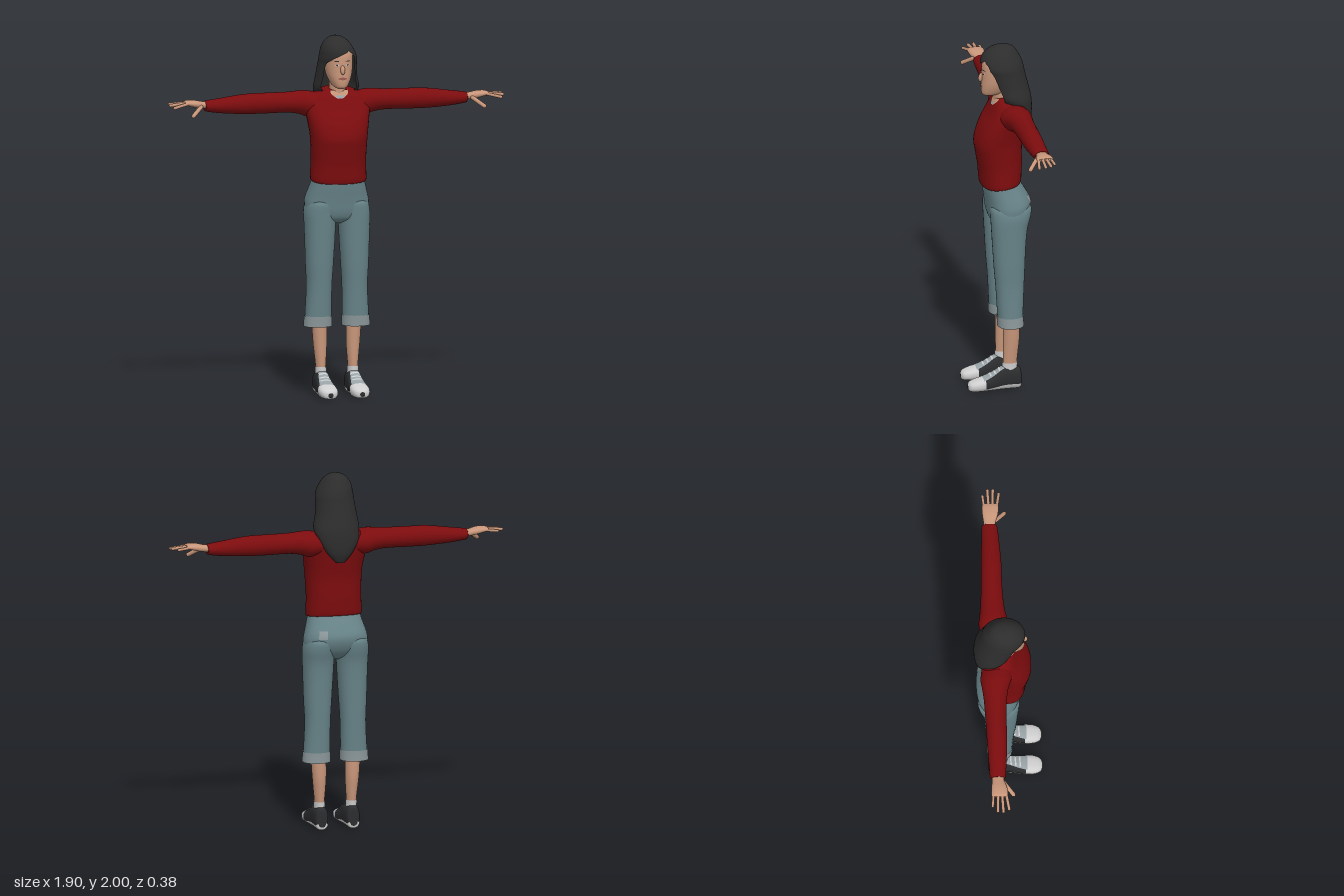
import * as THREE from 'three';

const COLORS = {
  skin: 0xc8967a, sweater: 0x7c0c0e, denim: 0x678388, cuff: 0x8b979a, hair: 0x2d2d2e,
  shoeBlack: 0x2b2c2e, white: 0xcfcfcf, grey: 0x98a2a6, lips: 0x9a5a50,
};

// Smooth interpolation of cross-section rows [t, centre, radius, front, back, ...]
function sample(rows, u) {
  const last = rows.length - 1;
  const i = Math.min(Math.floor(u), last - 1), f = u - i;
  const a = rows[Math.max(i - 1, 0)], b = rows[i], c = rows[i + 1], d = rows[Math.min(i + 2, last)];
  return b.map((v, k) => {
    const m0 = (c[k] - a[k]) / 2, m1 = (d[k] - v) / 2;
    return v + f * (m0 + f * (3 * (c[k] - v) - 2 * m0 - m1 + f * (2 * (v - c[k]) + m0 + m1)));
  });
}

// Row parameter at a given height
function findU(rows, t) {
  let lo = 0, hi = rows.length - 1;
  for (let i = 0; i < 30; i++) {
    const mid = (lo + hi) / 2;
    if (sample(rows, mid)[0] < t) lo = mid; else hi = mid;
  }
  return (lo + hi) / 2;
}

// Axis mappings for (across, along, depth)
const upright = (s = 1) => (c, t, b) => [s * c, t, b];
const sideways = (s = 1) => (c, t, b) => [s * t, c, b];
const forward = (s = 1) => (c, t, b) => [s * c, b, t];

// Loft through rows; "range" limits it to a sector, "from/to" to a band, "off" lifts it
function loft(rows, { map = upright(), p = 2, off = 0, from, to, range, n = 32 } = {}) {
  const u0 = from === undefined ? 0 : findU(rows, from);
  const u1 = to === undefined ? rows.length - 1 : findU(rows, to);
  const m = Math.max(8, Math.ceil((u1 - u0) * 4)), closed = !range;
  const pw = (v) => Math.sign(v) * Math.abs(v) ** (2 / p);
  const pos = [], idx = [], cols = closed ? n : n + 1;
  const ring = (u, k, scale) => {
    const r = sample(rows, u);
    const [a0, a1] = range ? range(k, r) : [0, Math.PI * 2];
    for (let j = 0; j < cols; j++) {
      const a = a0 + (a1 - a0) * j / n;
      pos.push(...map(r[1] + scale * (r[2] + off) * pw(Math.sin(a)), r[0],
        (r[3] + r[4]) / 2 + scale * ((r[3] - r[4]) / 2 + off) * pw(Math.cos(a))));
    }
  };
  const [X, Y, Z] = [[1, 0, 0], [0, 1, 0], [0, 0, 1]].map((v) => new THREE.Vector3(...map(...v)));
  const flip = X.cross(Y).dot(Z) < 0;
  const strip = (r0) => {
    for (let j = 0; j < n; j++) {
      const A = r0 * cols + j, B = r0 * cols + (j + 1) % cols, C = B + cols, D = A + cols;
      if (flip) idx.push(A, C, B, A, D, C); else idx.push(A, B, C, A, C, D);
    }
  };
  for (let i = 0; i <= m; i++) {
    ring(u0 + (u1 - u0) * i / m, i / m, 1);
    if (i < m) strip(i);
  }
  // End caps with sharp rims
  if (closed && from === undefined) {
    ring(u0, 0, 0.001); ring(u0, 0, 1); strip(m + 1);
    ring(u1, 1, 1); ring(u1, 1, 0.001); strip(m + 3);
  }
  const g = new THREE.BufferGeometry();
  g.setAttribute('position', new THREE.Float32BufferAttribute(pos, 3));
  g.setIndex(idx);
  g.computeVertexNormals();
  return g;
}

export function createModel() {
  const model = new THREE.Group();
  const mats = {};
  for (const [name, color] of Object.entries(COLORS)) {
    mats[name] = new THREE.MeshStandardMaterial({ color, side: THREE.DoubleSide });
    mats[name].name = name;
  }
  const add = (name, mat, geo) => {
    const mesh = new THREE.Mesh(geo, mats[mat]);
    mesh.name = name;
    model.add(mesh);
    return mesh;
  };
  const around = (c, w) => () => [c - w, c + w];
  const almond = (c, w) => (k) => [c - w * Math.sin(Math.PI * k) - 0.01, c + w * Math.sin(Math.PI * k) + 0.01];

  // Sweater body, hem slightly lower in front
  const torso = [
    [1.195, 0, 0.148, 0.095, -0.105], [1.21, 0, 0.156, 0.108, -0.115], [1.3, 0, 0.152, 0.116, -0.12],
    [1.39, 0, 0.155, 0.13, -0.12], [1.46, 0, 0.16, 0.138, -0.128], [1.54, 0, 0.173, 0.112, -0.14],
    [1.61, 0, 0.183, 0.068, -0.147], [1.66, 0, 0.15, 0.042, -0.138], [1.685, 0, 0.105, 0.028, -0.12],
    [1.7, 0, 0.065, 0.02, -0.1]];
  const body = { map: (c, t, b) => [c, t - 0.13 * b, b], p: 2.4 };
  add('sweaterBody', 'sweater', loft(torso, body));
  add('neckOpening', 'skin', loft(torso, { ...body, off: 0.003, from: 1.662, to: 1.699, range: (k) => [-0.08 - 0.6 * k, 0.08 + 0.6 * k] }));
  add('undershirt', 'grey', loft(torso, { ...body, off: 0.005, from: 1.66, to: 1.676, range: (k) => [-0.05 - 0.12 * k, 0.05 + 0.12 * k] }));

  // Trouser seat
  const pelvis = [
    [0.955, 0, 0.05, 0.0, -0.06], [0.98, 0, 0.14, 0.05, -0.11], [1.02, 0, 0.175, 0.068, -0.145],
    [1.07, 0, 0.18, 0.076, -0.164], [1.11, 0, 0.172, 0.082, -0.162], [1.16, 0, 0.157, 0.09, -0.135],
    [1.21, 0, 0.143, 0.095, -0.105], [1.235, 0, 0.135, 0.09, -0.1]];
  add('trouserSeat', 'denim', loft(pelvis, { p: 2.4 }));
  add('seatPatch', 'cuff', loft(pelvis, { p: 2.4, off: 0.003, from: 1.09, to: 1.135, range: around(2.62, 0.16) }));

  const trouser = [
    [0.38, 0.108, 0.075, 0.03, -0.108], [0.44, 0.106, 0.073, 0.033, -0.108], [0.6, 0.101, 0.07, 0.042, -0.115],
    [0.72, 0.1, 0.076, 0.052, -0.12], [0.85, 0.098, 0.082, 0.06, -0.126], [0.95, 0.097, 0.086, 0.066, -0.136],
    [1.02, 0.096, 0.088, 0.07, -0.154], [1.07, 0.092, 0.08, 0.07, -0.158], [1.1, 0.085, 0.055, 0.05, -0.13]];
  const shin = [
    [0.09, 0.09, 0.026, 0.0, -0.074], [0.15, 0.091, 0.027, 0.0, -0.078], [0.22, 0.092, 0.033, 0.0, -0.085],
    [0.3, 0.094, 0.039, 0.0, -0.092], [0.42, 0.098, 0.043, 0.002, -0.09]];
  const shoe = [
    [-0.1, 0.09, 0.02, 0.1, 0.02], [-0.092, 0.09, 0.035, 0.122, 0.005], [-0.045, 0.09, 0.04, 0.132, 0.004],
    [0.005, 0.09, 0.042, 0.127, 0.004], [0.05, 0.09, 0.046, 0.1, 0.004], [0.1, 0.09, 0.051, 0.077, 0.004],
    [0.15, 0.09, 0.05, 0.063, 0.004], [0.185, 0.09, 0.036, 0.05, 0.006], [0.198, 0.09, 0.012, 0.035, 0.014]];
  const arm = [
    [0.08, 1.615, 0.06, 0.03, -0.135], [0.16, 1.618, 0.072, 0.025, -0.146], [0.21, 1.626, 0.064, 0.008, -0.14],
    [0.28, 1.628, 0.057, -0.004, -0.132], [0.4, 1.627, 0.057, -0.01, -0.126], [0.52, 1.626, 0.055, -0.01, -0.122],
    [0.65, 1.622, 0.042, -0.018, -0.116], [0.73, 1.622, 0.031, -0.025, -0.112], [0.742, 1.623, 0.026, -0.03, -0.107]];
  const palm = [
    [0.72, 1.626, 0.018, -0.036, -0.1], [0.76, 1.63, 0.019, -0.034, -0.101], [0.8, 1.637, 0.02, -0.02, -0.106],
    [0.84, 1.643, 0.015, -0.015, -0.108], [0.86, 1.643, 0.01, -0.02, -0.104]];
  const digits = [
    [[0.85, 1.642, -0.025], [0.925, 1.624, -0.012], 0.009],
    [[0.85, 1.644, -0.048], [0.942, 1.634, -0.044], 0.009],
    [[0.85, 1.644, -0.07], [0.94, 1.638, -0.074], 0.009],
    [[0.84, 1.642, -0.095], [0.91, 1.635, -0.102], 0.008],
    [[0.77, 1.622, -0.035], [0.825, 1.58, 0.015], 0.012]];

  for (const s of [1, -1]) {
    const side = s > 0 ? 'left' : 'right';
    const up = { map: upright(s) }, out = { map: sideways(s) }, fwd = { map: forward(s), p: 2.5 };

    // Trouser leg, turn-up, shin and sock
    add(side + 'TrouserLeg', 'denim', loft(trouser, { ...up, p: 2.2 }));
    add(side + 'Cuff', 'cuff', loft(trouser, { ...up, p: 2.2, off: 0.004, from: 0.381, to: 0.44 }));
    add(side + 'Shin', 'skin', loft(shin, up));
    add(side + 'Sock', 'white', loft(shin, { ...up, off: 0.004, from: 0.092, to: 0.155 }));

    // Shoe with toe cap, tongue, laces and sole
    add(side + 'Shoe', 'shoeBlack', loft(shoe, fwd));
    add(side + 'ToeCap', 'white', loft(shoe, { ...fwd, off: 0.002, from: 0.105, to: 0.198 }));
    add(side + 'Tongue', 'grey', loft(shoe, { ...fwd, off: 0.003, from: -0.005, to: 0.115, range: (k) => [-0.5 - 0.3 * k, 0.5 + 0.3 * k] }));
    for (const z of [0.02, 0.045, 0.07]) {
      add(side + 'Lace', 'white', loft(shoe, { ...fwd, off: 0.005, from: z, to: z + 0.008, range: around(0, 0.5) }));
    }
    add(side + 'Sole', 'white', loft(shoe, { ...fwd, off: 0.004, range: around(Math.PI, 1.15) }));

    // Sleeve and hand
    add(side + 'Sleeve', 'sweater', loft(arm, out));
    add(side + 'Palm', 'skin', loft(palm, { ...out, p: 2.3 }));
    for (const [a, b, r] of digits) {
      const A = new THREE.Vector3(s * a[0], a[1], a[2]), B = new THREE.Vector3(s * b[0], b[1], b[2]);
      const digit = add(side + 'Finger', 'skin', new THREE.CapsuleGeometry(r, A.distanceTo(B), 5, 10));
      digit.position.copy(A).lerp(B, 0.5);
      digit.quaternion.setFromUnitVectors(new THREE.Vector3(0, 1, 0), B.sub(A).normalize());
    }
  }

  // Neck and head
  add('neck', 'skin', loft([
    [1.62, 0, 0.06, 0.03, -0.1], [1.66, 0, 0.053, 0.03, -0.09], [1.7, 0, 0.045, 0.03, -0.08], [1.77, 0, 0.045, 0.03, -0.08]]));
  const head = [
    [1.712, 0, 0.018, 0.08, 0.03], [1.722, 0, 0.036, 0.097, -0.01], [1.745, 0, 0.052, 0.102, -0.05],
    [1.78, 0, 0.067, 0.102, -0.08], [1.82, 0, 0.075, 0.1, -0.1], [1.86, 0, 0.078, 0.099, -0.11],
    [1.91, 0, 0.077, 0.092, -0.11], [1.95, 0, 0.06, 0.06, -0.085], [1.98, 0, 0.025, 0.02, -0.05]];
  const face = { p: 2.2 };
  add('head', 'skin', loft(head, face));
  const nose = add('nose', 'skin', new THREE.SphereGeometry(1, 16, 12));
  nose.scale.set(0.013, 0.026, 0.015);
  nose.position.set(0, 1.82, 0.103);
  nose.rotation.x = -0.25;
  add('mouth', 'lips', loft(head, { ...face, off: 0.003, from: 1.764, to: 1.78, range: almond(0, 0.34) }));
  for (const s of [1, -1]) {
    add('eye', 'white', loft(head, { ...face, off: 0.002, from: 1.842, to: 1.853, range: almond(s * 0.35, 0.14) }));
    add('iris', 'hair', loft(head, { ...face, off: 0.003, from: 1.842, to: 1.853, range: almond(s * 0.35, 0.06) }));
    add('eyebrow', 'hair', loft(head, { ...face, off: 0.003, from: 1.866, to: 1.872, range: almond(s * 0.37, 0.19) }));
  }

  // Long hair with a side parting; the last two columns are the edges of the face opening
  const hair = [
    [1.52, 0, 0.025, -0.13, -0.158, 0, 0], [1.57, 0, 0.07, -0.1, -0.176, 0, 0], [1.635, 0, 0.108, -0.06, -0.18, -0.1, 0.1],
    [1.7, 0.004, 0.128, 0.025, -0.176, -0.85, 0.85], [1.77, 0, 0.117, 0.055, -0.16, -0.88, 0.88],
    [1.845, 0, 0.108, 0.085, -0.142, -0.85, 0.85], [1.875, 0, 0.106, 0.102, -0.136, -0.55, 0.8],
    [1.9, -0.002, 0.1, 0.106, -0.13, -0.1, 0.74], [1.925, -0.006, 0.092, 0.102, -0.12, 0.5, 0.5],
    [1.955, -0.009, 0.077, 0.085, -0.103, 0.5, 0.5], [1.98, -0.01, 0.055, 0.055, -0.085, 0.5, 0.5],
    [1.995, -0.01, 0.028, 0.02, -0.058, 0.5, 0.5], [2.0, -0.01, 0.001, -0.018, -0.02, 0.5, 0.5]];
  add('hair', 'hair', loft(hair, { n: 48, range: (k, r) => [Math.max(r[5], r[6]), r[5] + Math.PI * 2] }));

  return model;
}
